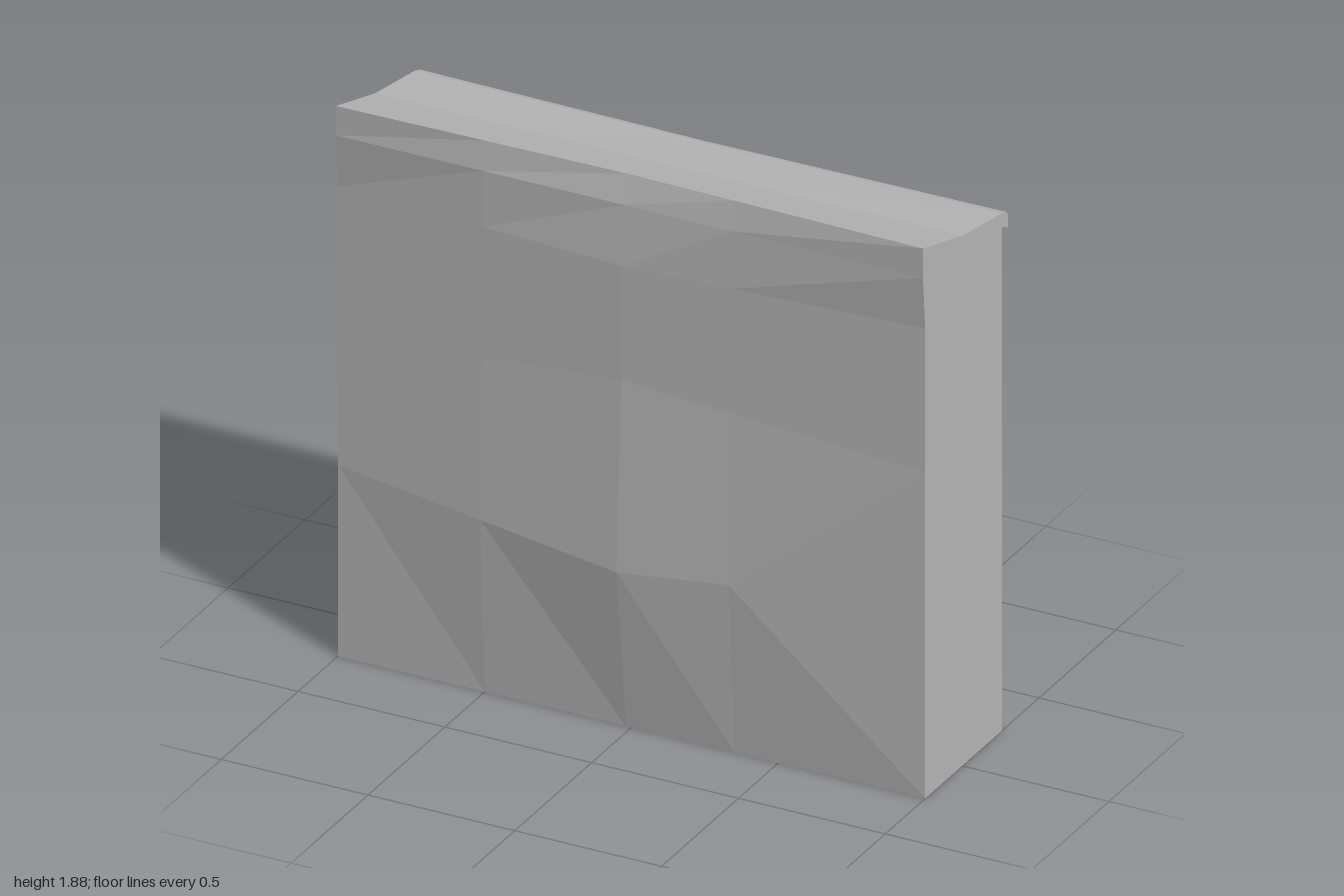
import * as THREE from 'three';

const MID_X = -0.02;
const STATIONS = [-1, -0.5, MID_X, 0.35, 1];

// Profile points are [z, y], counter-clockwise: one list for the ends, one for the middle.
function section(end, mid, x) {
  const t = x < MID_X ? (x + 1) / (MID_X + 1) : (1 - x) / (1 - MID_X);
  return end.map(([z, y], i) => [
    THREE.MathUtils.lerp(z, mid[i][0], t),
    THREE.MathUtils.lerp(y, mid[i][1], t),
  ]);
}

// Lofts an open profile along x and caps both ends; flipRow turns one row's diagonals.
function loft(end, mid, flipRow = -1) {
  const pos = [];
  const add = (...pts) => pts.forEach((p) => pos.push(...p));
  for (let s = 0; s < STATIONS.length - 1; s++) {
    const [x0, x1] = [STATIONS[s], STATIONS[s + 1]];
    const p0 = section(end, mid, x0);
    const p1 = section(end, mid, x1);
    for (let i = 0; i < end.length - 1; i++) {
      const a = [x0, p0[i][1], p0[i][0]];
      const b = [x1, p1[i][1], p1[i][0]];
      const c = [x1, p1[i + 1][1], p1[i + 1][0]];
      const d = [x0, p0[i + 1][1], p0[i + 1][0]];
      if (i === flipRow) add(a, b, d, b, c, d);
      else add(a, b, c, a, c, d);
    }
  }
  const outline = end.map(([z, y]) => new THREE.Vector2(z, y));
  for (const tri of THREE.ShapeUtils.triangulateShape(outline, [])) {
    const at = (x) => tri.map((k) => [x, end[k][1], end[k][0]]);
    add(...at(-1));
    add(...at(1).reverse());
  }
  const geo = new THREE.BufferGeometry();
  geo.setAttribute('position', new THREE.Float32BufferAttribute(pos, 3));
  geo.computeVertexNormals();
  return geo;
}

export function createModel() {
  const group = new THREE.Group();
  group.name = 'wallSegment';
  const stone = new THREE.MeshStandardMaterial({ color: 0xb8b8b8, flatShading: true });
  stone.name = 'grey stone';

  // Wall body: flat back, faceted front bulging at mid length
  const body = new THREE.Mesh(loft(
    [[-0.26, 1.715], [-0.26, 0], [0.24, 0], [0.24, 0.65], [0.24, 1.11], [0.24, 1.6], [0.255, 1.78]],
    [[-0.26, 1.715], [-0.26, 0], [0.24, 0], [0.3, 0.55], [0.27, 1.19], [0.27, 1.58], [0.253, 1.78]],
    2,
  ), stone);
  body.name = 'wallBody';

  // Coping: sloping top with a small drip lip overhanging the back
  const coping = new THREE.Mesh(loft(
    [[0.255, 1.78], [0.255, 1.88], [0, 1.805], [-0.26, 1.762], [-0.29, 1.752], [-0.3, 1.738], [-0.3, 1.695], [-0.26, 1.715]],
    [[0.253, 1.78], [0.225, 1.873], [0, 1.805], [-0.25, 1.762], [-0.277, 1.752], [-0.287, 1.738], [-0.3, 1.695], [-0.26, 1.715]],
  ), stone);
  coping.name = 'coping';

  group.add(body, coping);
  return group;
}
